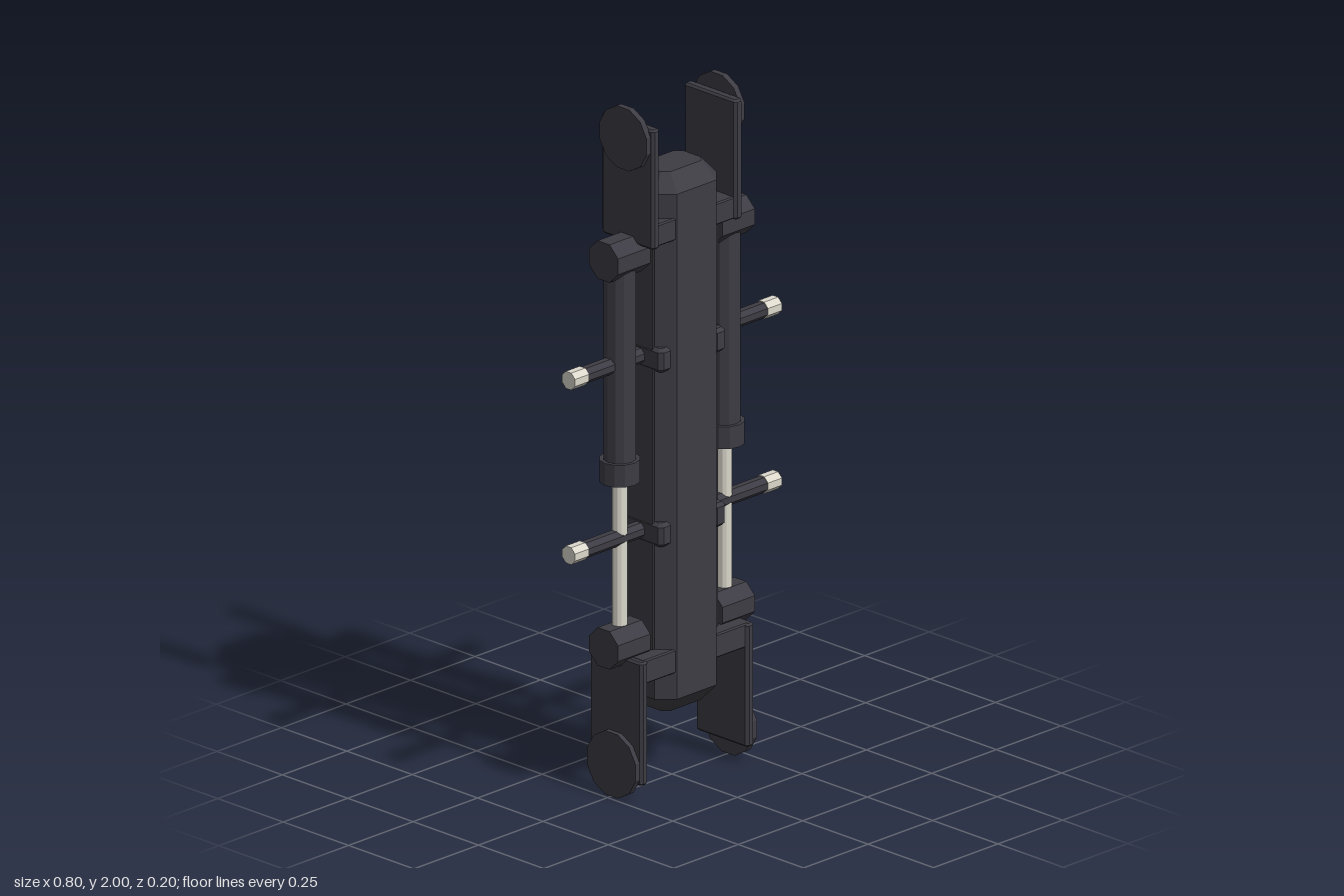
import * as THREE from 'three';

const dark = new THREE.MeshStandardMaterial({ color: 0x3d3c44, flatShading: true });
dark.name = 'dark casing';
const pale = new THREE.MeshStandardMaterial({ color: 0xdcd8cc, flatShading: true });
pale.name = 'pale metal';

// Upright block with cut vertical corners and bevelled ends
function block(w, h, d, cut, bevel, bevelHeight = bevel) {
  const x = w / 2, z = d / 2;
  const shape = new THREE.Shape([
    [x - cut, -z], [x, -z + cut], [x, z - cut], [x - cut, z],
    [-x + cut, z], [-x, z - cut], [-x, -z + cut], [-x + cut, -z],
  ].map(([a, b]) => new THREE.Vector2(a, b)));
  const geo = new THREE.ExtrudeGeometry(shape, {
    depth: h - 2 * bevelHeight, bevelEnabled: true, bevelSegments: 1,
    bevelSize: bevel, bevelThickness: bevelHeight, bevelOffset: -bevel,
  });
  return geo.translate(0, 0, -h / 2 + bevelHeight).rotateX(-Math.PI / 2);
}

// Cylinder along x with a flat side facing up
function xCylinder(radius, length, sides) {
  return new THREE.CylinderGeometry(radius, radius, length, sides)
    .rotateY(Math.PI / sides).rotateZ(Math.PI / 2);
}

function add(group, name, geo, mat, x, y, z = 0) {
  const mesh = new THREE.Mesh(geo, mat);
  mesh.name = name;
  mesh.position.set(x, y, z);
  group.add(mesh);
  return mesh;
}

function buildSide(s) {
  const side = new THREE.Group();
  side.name = s > 0 ? 'leftSide' : 'rightSide';

  // Raised strip along the body
  add(side, 'sideRail', new THREE.BoxGeometry(0.03, 1.24, 0.1), dark, s * 0.112, 1.005);

  // End plates with round pads, the lower pair set wider
  add(side, 'upperPlate', block(0.03, 0.35, 0.2, 0.008, 0.006), dark, s * 0.16, 1.778);
  add(side, 'upperPad', xCylinder(0.093, 0.018, 12), dark, s * 0.181, 1.909);
  add(side, 'lowerPlate', block(0.03, 0.36, 0.2, 0.008, 0.006), dark, s * 0.205, 0.23);
  add(side, 'lowerPad', xCylinder(0.096, 0.018, 12), dark, s * 0.226, 0.093);

  // Piston: two end bosses, barrel, collar and rod
  for (const y of [1.57, 0.44]) {
    add(side, 'pistonBoss', xCylinder(0.06, 0.125, 8), dark, s * 0.2025, y);
  }
  add(side, 'pistonBarrel', new THREE.CylinderGeometry(0.046, 0.046, 0.6, 12), dark, s * 0.203, 1.26);
  add(side, 'pistonCollar', new THREE.CylinderGeometry(0.057, 0.057, 0.065, 12), dark, s * 0.203, 0.947);
  add(side, 'pistonRod', new THREE.CylinderGeometry(0.022, 0.022, 0.5, 12), pale, s * 0.203, 0.7);

  // Side pegs with pale tips and their mounts
  for (const y of [1.26, 0.75]) {
    add(side, 'pegMount', block(0.05, 0.07, 0.17, 0.012, 0.01), dark, s * 0.104, y);
    add(side, 'peg', xCylinder(0.024, 0.25, 8), dark, s * 0.23, y);
    add(side, 'pegTip', xCylinder(0.027, 0.054, 8), pale, s * 0.374, y);
  }
  return side;
}

export function createModel() {
  const model = new THREE.Group();
  model.name = 'pistonFrame';

  // Long central body with bevelled ends
  add(model, 'body', block(0.24, 1.575, 0.19, 0.043, 0.042, 0.05), dark, 0, 1.003);

  // Cross bars carrying the end plates
  add(model, 'upperCrossBar', block(0.32, 0.065, 0.184, 0.006, 0.004), dark, 0, 1.638);
  add(model, 'lowerCrossBar', block(0.41, 0.07, 0.184, 0.006, 0.004), dark, 0, 0.376);

  model.add(buildSide(1), buildSide(-1));
  return model;
}
